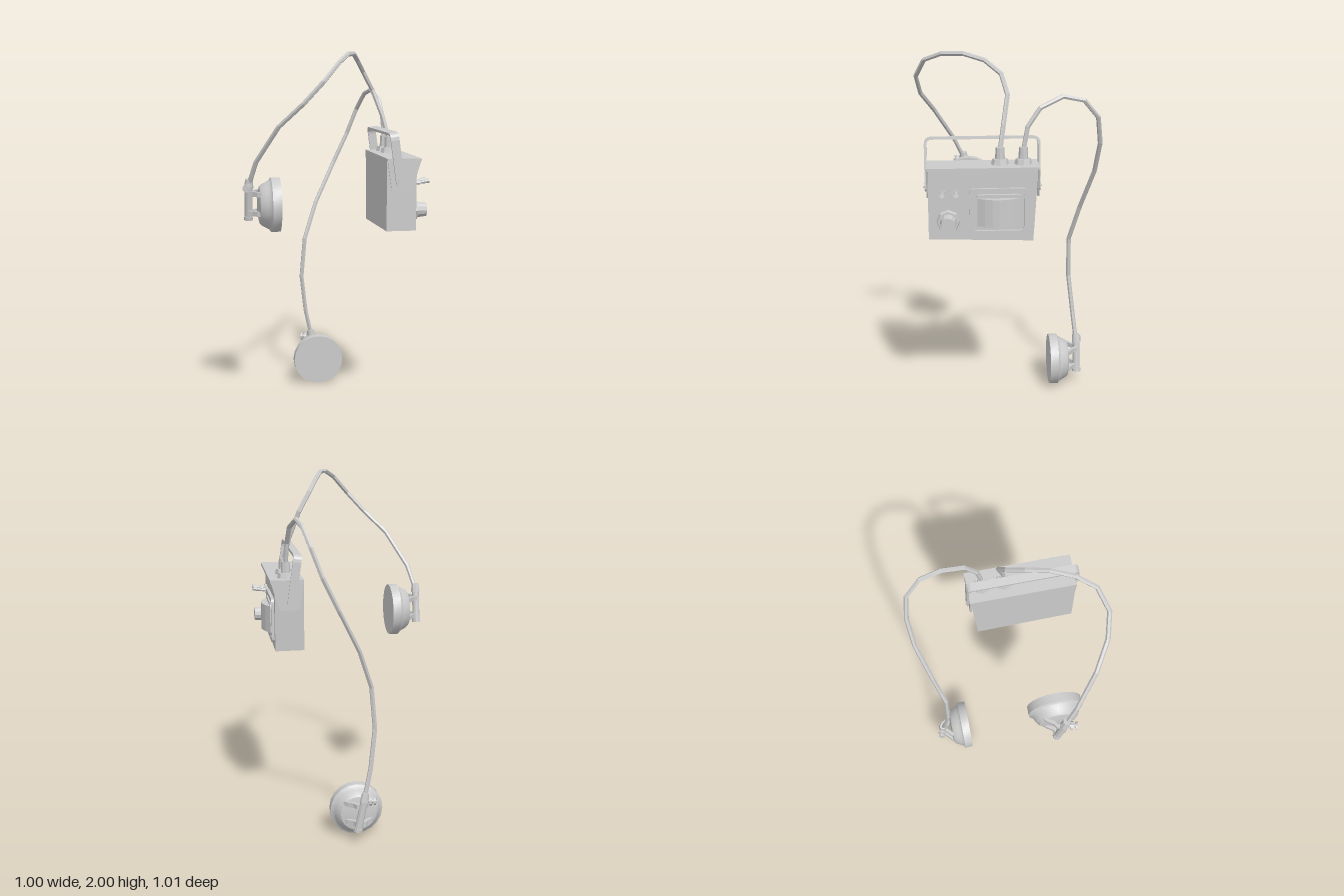
import * as THREE from 'three';
import { toCreasedNormals } from 'three/addons/utils/BufferGeometryUtils.js';

const flat = new THREE.MeshStandardMaterial({ color: 0xcccccc, flatShading: true, side: THREE.DoubleSide });
const smooth = new THREE.MeshStandardMaterial({ color: 0xcccccc, side: THREE.DoubleSide });

function add(parent, name, geometry, x = 0, y = 0, z = 0, material = flat) {
  const mesh = new THREE.Mesh(geometry, material);
  mesh.name = name;
  mesh.position.set(x, y, z);
  parent.add(mesh);
  return mesh;
}

// Cylinder between two points
function rod(parent, name, a, b, r0, r1 = r0, sides = 8) {
  const from = new THREE.Vector3(...a), to = new THREE.Vector3(...b);
  const dir = to.clone().sub(from);
  const mesh = add(parent, name, new THREE.CylinderGeometry(r1, r0, dir.length(), sides));
  mesh.position.copy(from).add(to).multiplyScalar(0.5);
  mesh.quaternion.setFromUnitVectors(new THREE.Vector3(0, 1, 0), dir.normalize());
  return mesh;
}

function roundedRect(path, w, h, r) {
  const x = w / 2, y = h / 2;
  path.moveTo(-x + r, -y);
  path.lineTo(x - r, -y).quadraticCurveTo(x, -y, x, -y + r);
  path.lineTo(x, y - r).quadraticCurveTo(x, y, x - r, y);
  path.lineTo(-x + r, y).quadraticCurveTo(-x, y, -x, y - r);
  path.lineTo(-x, -y + r).quadraticCurveTo(-x, -y, -x + r, -y);
  return path;
}

function polygon(points) {
  return new THREE.Shape(points.map(p => new THREE.Vector2(...p)));
}

const extrude = (shape, depth, curveSegments = 4) =>
  new THREE.ExtrudeGeometry(shape, { depth, bevelEnabled: false, curveSegments });

// Faceted cord whose rings sit on the given points
function cable(parent, name, points) {
  const curve = new THREE.CatmullRomCurve3(points.map(p => new THREE.Vector3(...p)));
  curve.getPointAt = t => curve.getPoint(t);
  curve.getTangentAt = t => curve.getTangent(t);
  add(parent, name, new THREE.TubeGeometry(curve, points.length - 1, 0.013, 6));
}

// Earphone with its face at z = 0, pointing to +z
function earphone(name) {
  const g = new THREE.Group();
  g.name = name;
  const profile = [[0, 0], [0.148, 0], [0.149, 0.048], [0.136, 0.056], [0.125, 0.075], [0.113, 0.098], [0.1, 0.11], [0.06, 0.118], [0, 0.118]];
  const cup = new THREE.LatheGeometry(profile.map(p => new THREE.Vector2(...p)), 20);
  cup.rotateX(-Math.PI / 2);
  add(g, 'earCup', toCreasedNormals(cup, 0.5), 0, 0, 0, smooth);

  // Two bent straps holding the pivot rod
  const strap = polygon([[-0.085, -0.105], [-0.075, -0.125], [-0.045, -0.15], [-0.03, -0.17], [0.02, -0.17], [0.035, -0.145],
    [0.065, -0.125], [0.085, -0.105], [0.06, -0.11], [0.025, -0.13], [0.012, -0.152], [-0.02, -0.152], [-0.04, -0.13], [-0.06, -0.11]]);
  for (const y of [-0.04, 0.065]) {
    const geo = extrude(strap, 0.026);
    geo.rotateX(Math.PI / 2);
    geo.scale(1, 1, 1);
    add(g, 'strap', geo, 0, y + 0.013, 0);
  }
  rod(g, 'pivotRod', [0.012, -0.07, -0.168], [-0.025, 0.12, -0.168], 0.021, 0.021, 10);
  rod(g, 'rodFoot', [0.014, -0.08, -0.168], [0.01, -0.06, -0.168], 0.025, 0.025, 10);
  rod(g, 'cordCollar', [-0.02, 0.095, -0.168], [-0.029, 0.145, -0.165], 0.026, 0.02, 8);

  // Clamp screw with round nuts
  rod(g, 'clampScrew', [-0.02, 0.1, -0.168], [-0.085, 0.1, -0.185], 0.009);
  rod(g, 'clampNut', [-0.05, 0.1, -0.176], [-0.062, 0.1, -0.179], 0.024);
  rod(g, 'clampNut', [-0.072, 0.1, -0.182], [-0.084, 0.1, -0.185], 0.021);
  return g;
}

export function createModel() {
  const model = new THREE.Group();
  model.name = 'receiverWithEarphones';

  // Case: one end and the bottom run slightly out of square
  const box = new THREE.BoxGeometry(0.16, 0.4, 0.575);
  const pos = box.attributes.position;
  for (let i = 0; i < pos.count; i++) {
    if (pos.getY(i) < 0) {
      if (pos.getZ(i) < 0) pos.setZ(i, pos.getZ(i) + 0.025);
      else pos.setY(i, pos.getY(i) + 0.017);
    }
  }
  add(model, 'case', box, 0.325, 1.24, 0.1455);

  // Lid with an overhanging front edge and a flap over each end
  add(model, 'lid', new THREE.BoxGeometry(0.185, 0.014, 0.584), 0.3375, 1.435, 0.1445);
  const flap = polygon([[0.246, 1.44], [0.27, 1.275], [0.375, 1.275], [0.39, 1.31], [0.43, 1.44]]);
  for (const z of [0.43, -0.149]) add(model, 'lidFlap', extrude(flap, 0.01), 0, 0, z);

  // Carrying handle, leaning back from its pivots
  const handle = new THREE.Group();
  handle.name = 'handle';
  handle.position.set(0.312, 1.335, 0.145);
  handle.rotation.z = 0.14;
  model.add(handle);
  const outer = new THREE.Shape();
  outer.moveTo(-0.305, -0.02);
  outer.lineTo(-0.305, 0.205).quadraticCurveTo(-0.305, 0.245, -0.265, 0.245);
  outer.lineTo(0.265, 0.245).quadraticCurveTo(0.305, 0.245, 0.305, 0.205);
  outer.lineTo(0.305, -0.02).lineTo(0.293, -0.02);
  outer.lineTo(0.293, 0.2).quadraticCurveTo(0.293, 0.231, 0.262, 0.231);
  outer.lineTo(-0.262, 0.231).quadraticCurveTo(-0.293, 0.231, -0.293, 0.2);
  outer.lineTo(-0.293, -0.02);
  const bow = extrude(outer, 0.046);
  bow.translate(0, 0, -0.023);
  bow.rotateY(-Math.PI / 2);
  add(handle, 'handleBow', bow);
  for (const s of [-1, 1]) {
    rod(handle, 'handleEnd', [0, -0.02, s * 0.293], [0, -0.02, s * 0.305], 0.023, 0.023, 12);
    rod(handle, 'handlePivot', [0, -0.01, s * 0.285], [0, -0.01, s * 0.311], 0.012, 0.012, 8);
  }

  // Control panel; its local +z points out of the case toward +x
  const panel = new THREE.Group();
  panel.name = 'controlPanel';
  panel.position.set(0.405, 1.24, 0.145);
  panel.rotation.y = Math.PI / 2;
  model.add(panel);

  const ring = roundedRect(new THREE.Shape(), 0.31, 0.25, 0.03);
  ring.holes.push(roundedRect(new THREE.Path(), 0.265, 0.205, 0.025));
  add(panel, 'meterFrame', extrude(ring, 0.016), 0.08, -0.035, 0);
  const inner = roundedRect(new THREE.Shape(), 0.24, 0.185, 0.025);
  add(panel, 'meterBezel', extrude(inner, 0.02), 0.08, -0.035, 0);
  const bulge = polygon([[-0.113, 0], [-0.113, 0.02], [-0.075, 0.042], [-0.035, 0.056], [0, 0.06],
    [0.035, 0.056], [0.075, 0.042], [0.113, 0.02], [0.113, 0]]);
  const glass = extrude(bulge, 0.15);
  glass.rotateX(Math.PI / 2);
  add(panel, 'meterWindow', glass, 0.08, 0.04, 0);

  rod(panel, 'knobBase', [-0.185, -0.085, 0], [-0.185, -0.085, 0.024], 0.062, 0.056);
  rod(panel, 'knob', [-0.185, -0.085, 0.02], [-0.185, -0.085, 0.078], 0.044, 0.037, 12);
  for (const x of [-0.215, -0.143]) {
    rod(panel, 'switchNut', [x, 0.065, 0], [x, 0.065, 0.014], 0.02, 0.02, 6);
    rod(panel, 'switchCollar', [x, 0.065, 0.01], [x, 0.065, 0.035], 0.011);
    rod(panel, 'switchLever', [x, 0.065, 0.03], [x, 0.075, 0.086], 0.007, 0.013);
  }

  // Sockets and plugs on the lid
  for (const z of [0.055, -0.067]) {
    add(model, 'socketNut', new THREE.CylinderGeometry(0.04, 0.048, 0.03, 8), 0.337, 1.455, z);
    add(model, 'plug', new THREE.CylinderGeometry(0.023, 0.026, 0.07, 8), 0.337, 1.495, z);
  }

  // Earphones
  const sideEarphone = earphone('sideEarphone');
  sideEarphone.position.set(-0.298, 1.18, 0.205);
  sideEarphone.rotation.y = Math.PI / 2;
  const lowEarphone = earphone('lowEarphone');
  lowEarphone.position.set(-0.018, 0.15, -0.254);
  model.add(sideEarphone, lowEarphone);

  // Cords
  cable(model, 'sideCord', [[-0.463, 1.3, 0.235], [-0.43, 1.42, 0.29], [-0.32, 1.61, 0.4], [-0.2, 1.73, 0.475],
    [-0.1, 1.84, 0.495], [-0.01, 1.94, 0.445], [0.05, 1.98, 0.35], [0.1, 1.985, 0.235], [0.14, 1.955, 0.125],
    [0.19, 1.89, 0.04], [0.25, 1.79, 0.01], [0.305, 1.64, 0.035], [0.337, 1.51, 0.055]]);
  cable(model, 'lowCord', [[-0.045, 0.28, -0.417], [-0.078, 0.43, -0.4], [-0.105, 0.65, -0.375], [-0.085, 0.885, -0.37],
    [-0.01, 1.1, -0.42], [0.11, 1.34, -0.48], [0.195, 1.515, -0.493], [0.25, 1.665, -0.47], [0.283, 1.76, -0.39],
    [0.3, 1.785, -0.275], [0.322, 1.73, -0.155], [0.33, 1.635, -0.09], [0.337, 1.51, -0.067]]);

  return model;
}
